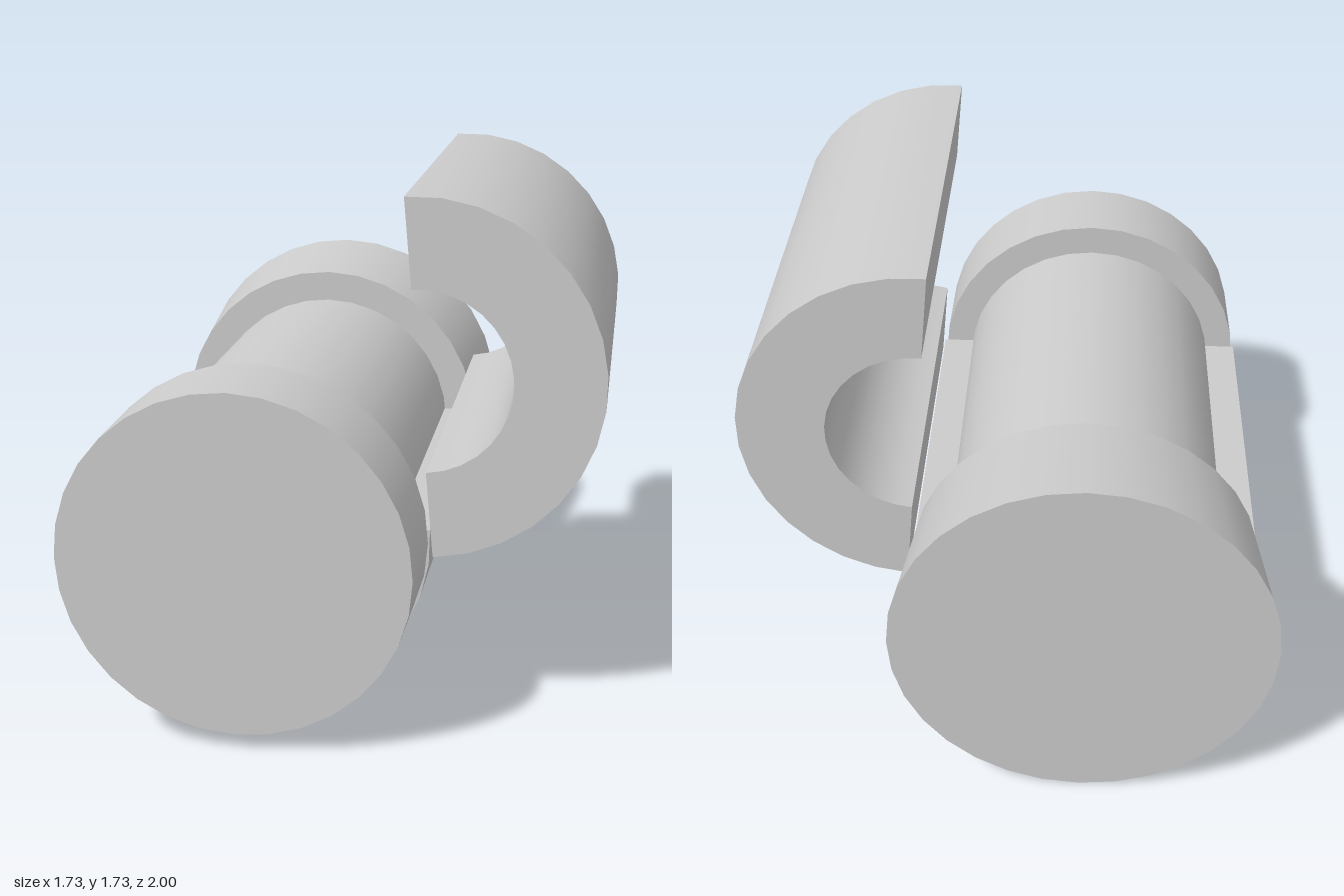
import * as THREE from 'three';
import { toCreasedNormals } from 'three/addons/utils/BufferGeometryUtils.js';

const AXIS = { x: -0.245, y: 0.62 };

export function createModel() {
  const group = new THREE.Group();
  const material = new THREE.MeshStandardMaterial({ color: 0xcccccc });

  function add(name, geometry, x, y, z) {
    const mesh = new THREE.Mesh(geometry, material);
    mesh.name = name;
    mesh.position.set(x, y, z);
    group.add(mesh);
  }

  // Solid round section along z, from back to front
  function drum(name, rFront, rBack, zBack, zFront) {
    const g = new THREE.CylinderGeometry(rFront, rBack, zFront - zBack, 32);
    g.rotateX(Math.PI / 2);
    add(name, g, AXIS.x, AXIS.y, (zBack + zFront) / 2);
  }

  // Partial thick tube along z; ends cut by the given outer and inner angles
  function halfTube(name, rOut, rIn, outer, inner, x, y, zBack, zFront) {
    const s = new THREE.Shape();
    s.absarc(0, 0, rOut, outer[0], outer[1], false);
    s.absarc(0, 0, rIn, inner[1], inner[0], true);
    s.closePath();
    const g = new THREE.ExtrudeGeometry(s, { depth: zFront - zBack, bevelEnabled: false, curveSegments: 8 });
    add(name, toCreasedNormals(g, 0.5), x, y, zBack);
  }

  drum('frontCap', 0.563, 0.567, 0.69, 1);
  drum('flaredBase', 0.575, 0.62, -1, -0.59);
  drum('innerCore', 0.465, 0.465, -0.59, 0.68);

  // Lower shell with level ledges slightly above the axis
  const ledge = 0.045;
  const span = (r) => {
    const a = Math.asin(ledge / r);
    return [Math.PI - a, 2 * Math.PI + a];
  };
  halfTube('lowerShell', 0.575, 0.46, span(0.575), span(0.46), AXIS.x, AXIS.y, -0.59, 0.69);

  // Open cover swung out to the side
  const deg = Math.PI / 180;
  const arc = [-85 * deg, 95 * deg];
  halfTube('openCover', 0.572, 0.291, arc, arc, 0.294, 1.165, -0.64, 0.74);

  return group;
}
